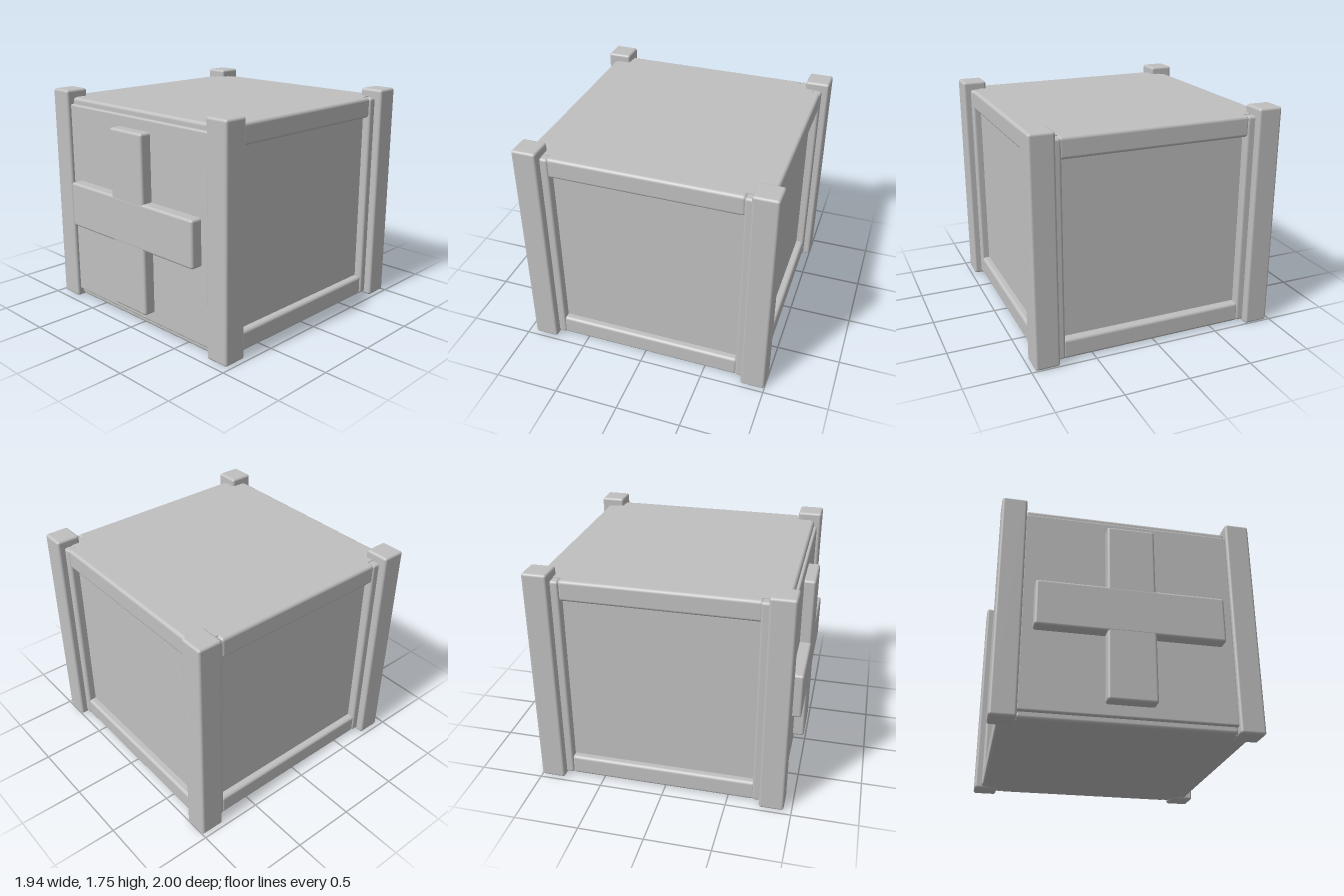
import * as THREE from 'three';
import { RoundedBoxGeometry } from 'three/addons/geometries/RoundedBoxGeometry.js';

export function createModel() {
  const model = new THREE.Group();
  model.name = 'crate';
  const grey = new THREE.MeshStandardMaterial({ color: 0xc0c0c0 });
  grey.name = 'plain grey';

  // Box from its lower and upper limits on each axis, with rounded edges if r > 0
  function block(name, [x0, x1], [y0, y1], [z0, z1], r = 0.02) {
    const size = [x1 - x0, y1 - y0, z1 - z0];
    const geometry = r > 0
      ? new RoundedBoxGeometry(...size, 3, r)
      : new THREE.BoxGeometry(...size);
    const mesh = new THREE.Mesh(geometry, grey);
    mesh.name = name;
    mesh.position.set((x0 + x1) / 2, (y0 + y1) / 2, (z0 + z1) / 2);
    model.add(mesh);
  }
  // Range on the +x or -x side
  const side = (s, a, b) => (s > 0 ? [a, b] : [-b, -a]);

  // Core, whose sides are the recessed panels
  block('core', [-0.85, 0.85], [0.01, 1.69], [-0.88, 0.85], 0);

  for (const s of [1, -1]) {
    // Corner posts
    block('frontPost', side(s, 0.78, 0.97), [0, 1.75], [0.75, 0.94]);
    block('backPost', side(s, 0.78, 0.97), [0, 1.75], [-1, -0.81]);

    // Upright battens beside the posts
    block('sideFrontBatten', side(s, 0.79, 0.912), [0.015, 1.685], [0.69, 0.85]);
    block('sideBackBatten', side(s, 0.79, 0.912), [0.015, 1.685], [-0.91, -0.75]);
    block('backBatten', side(s, 0.72, 0.88), [0.015, 1.685], [-0.945, -0.82]);
  }

  // Horizontal rails, bottom and top
  for (const y of [[0.01, 0.17], [1.53, 1.69]]) {
    for (const s of [1, -1]) {
      block('sideRail', side(s, 0.76, 0.905), y, [-0.76, 0.71], 0.025);
    }
    block('backRail', [-0.74, 0.74], y, [-0.94, -0.79], 0.025);
    block('frontRail', [-0.79, 0.79], y, [0.75, 0.885], 0.025);
  }

  // Front panel with its raised cross
  block('frontPanel', [-0.79, 0.79], [0.06, 1.64], [0.8, 0.91], 0.015);
  block('crossUpright', [-0.18, 0.18], [0.15, 1.55], [0.86, 0.999]);
  block('crossBar', [-0.7, 0.7], [0.67, 1.03], [0.86, 1]);

  return model;
}
